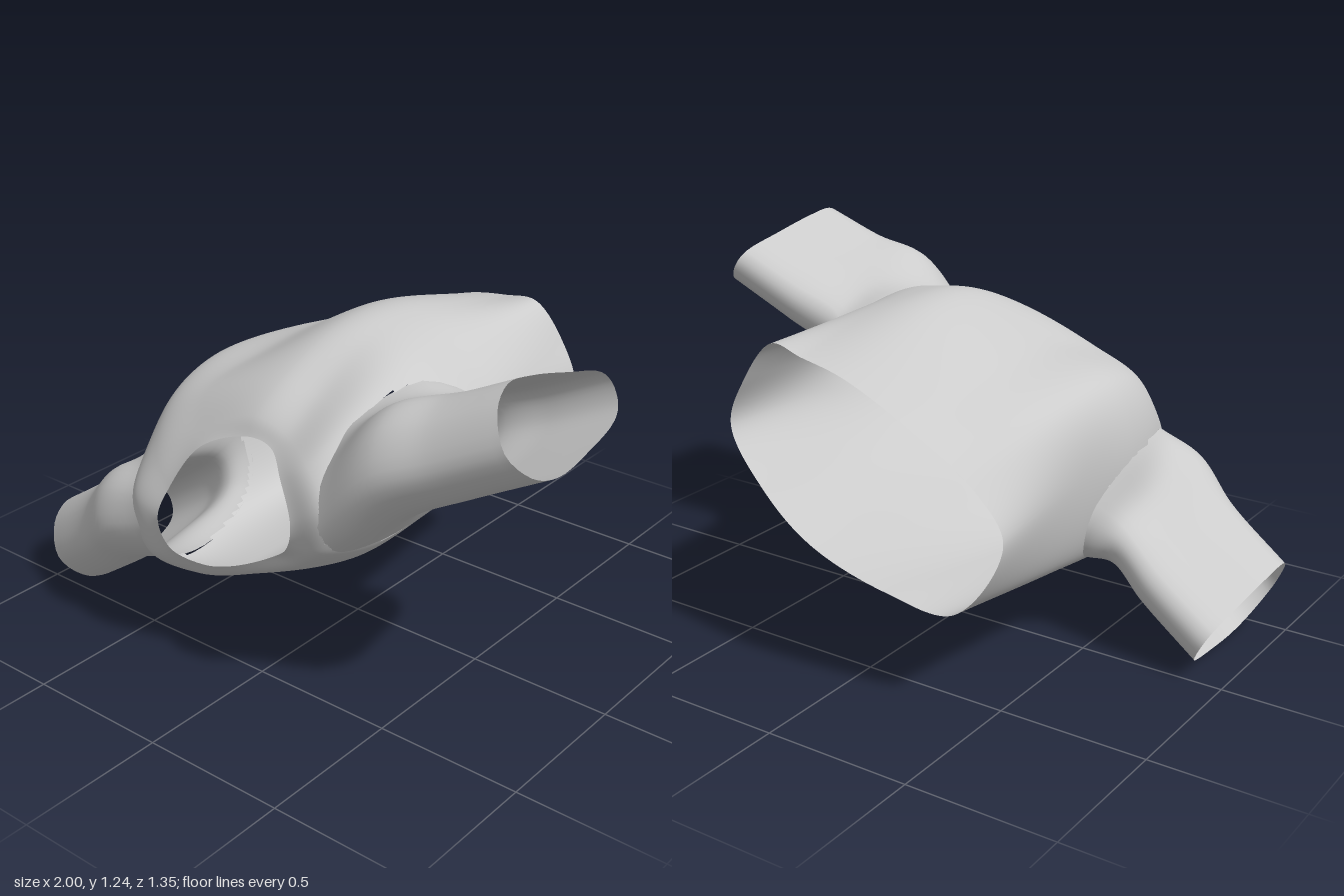
import * as THREE from 'three';

const material = new THREE.MeshStandardMaterial({ color: 0xcccccc, side: THREE.DoubleSide });

const toPoints = (n) => Array.from({ length: n.length / 3 }, (_, i) => new THREE.Vector3(n[3 * i], n[3 * i + 1], n[3 * i + 2]));

// Smooth closed ring at v (0..1) through cross-sections with matching points
function skinRing(sections) {
  const rails = sections[0].map((_, k) => new THREE.CatmullRomCurve3(sections.map((s) => s[k]), false, 'centripetal'));
  return (v) => new THREE.CatmullRomCurve3(rails.map((r) => r.getPoint(v)), true, 'centripetal');
}

// Open-ended skin; isHole(u, v) leaves faces out
function skin(name, sections, around, along, isHole = () => false) {
  const ringAt = skinRing(sections);
  const positions = [], index = [];
  for (let i = 0; i <= along; i++) {
    const ring = ringAt(i / along);
    for (let j = 0; j < around; j++) positions.push(...ring.getPoint(j / around).toArray());
  }
  for (let i = 0; i < along; i++) {
    for (let j = 0; j < around; j++) {
      if (isHole((j + 0.5) / around, (i + 0.5) / along)) continue;
      const a = i * around + j, b = i * around + (j + 1) % around;
      index.push(a, b, a + around, b, b + around, a + around);
    }
  }
  const geometry = new THREE.BufferGeometry();
  geometry.setAttribute('position', new THREE.Float32BufferAttribute(positions, 3));
  geometry.setIndex(index);
  geometry.computeVertexNormals();
  const mesh = new THREE.Mesh(geometry, material);
  mesh.name = name;
  return mesh;
}

// Body cross-sections, each running from -x over the top to +x and back underneath
const neckline = [
  -0.27, 0.55, 0.67, -0.25, 0.65, 0.63, -0.17, 0.79, 0.57, 0, 0.865, 0.535,
  0.1, 0.86, 0.54, 0.2, 0.81, 0.61, 0.27, 0.71, 0.65, 0.25, 0.62, 0.64,
  0.14, 0.52, 0.59, -0.03, 0.43, 0.6, -0.13, 0.41, 0.62, -0.23, 0.45, 0.66];
const yoke = [
  -0.42, 0.57, 0.63, -0.34, 0.7, 0.59, -0.22, 0.82, 0.53, 0, 0.92, 0.5,
  0.14, 0.9, 0.51, 0.29, 0.87, 0.59, 0.39, 0.78, 0.63, 0.36, 0.63, 0.61,
  0.24, 0.52, 0.58, 0.02, 0.4, 0.55, -0.2, 0.33, 0.57, -0.36, 0.38, 0.63];
const chest = [
  -0.53, 0.6, 0.42, -0.46, 0.8, 0.42, -0.28, 0.9, 0.41, 0.01, 1.01, 0.38,
  0.15, 0.99, 0.38, 0.33, 0.98, 0.42, 0.47, 0.85, 0.42, 0.44, 0.64, 0.42,
  0.34, 0.52, 0.42, 0.02, 0.365, 0.4, -0.2, 0.27, 0.4, -0.43, 0.28, 0.42];
const waist = [
  -0.57, 0.61, 0.18, -0.5, 0.87, 0.18, -0.25, 0.965, 0.18, 0.02, 1.105, 0.15,
  0.16, 1.1, 0.15, 0.34, 1.05, 0.18, 0.53, 0.88, 0.16, 0.48, 0.68, 0.18,
  0.35, 0.53, 0.18, 0.03, 0.36, 0.18, -0.2, 0.262, 0.18, -0.46, 0.28, 0.18];
const hips = [
  -0.54, 0.62, -0.12, -0.49, 0.85, -0.17, -0.27, 0.965, -0.17, 0.02, 1.115, -0.12,
  0.17, 1.11, -0.12, 0.32, 1.05, -0.12, 0.47, 0.89, -0.12, 0.48, 0.73, -0.12,
  0.34, 0.55, -0.12, 0.05, 0.385, -0.12, -0.2, 0.29, -0.12, -0.44, 0.3, -0.12];
const hem = [
  -0.54, 0.58, -0.56, -0.45, 0.74, -0.58, -0.25, 0.89, -0.61, 0, 1.0, -0.6,
  0.17, 1.035, -0.59, 0.31, 1.05, -0.57, 0.4, 0.92, -0.6, 0.45, 0.77, -0.61,
  0.28, 0.6, -0.66, 0.08, 0.47, -0.68, -0.18, 0.37, -0.65, -0.4, 0.34, -0.61];
const bodySections = [neckline, yoke, chest, waist, hips, hem].map(toPoints);

// Armholes: ellipses on the body, in section-point and section steps
const leftArmhole = { u: 6.2, ru: 1.2, v: 2.25, rv: 1.5, up: -1 };
const rightArmhole = { u: 11.5, ru: 0.7, v: 2.25, rv: 1.5, up: 1 };

const insideArmhole = (u, v) => [leftArmhole, rightArmhole].some((h) => {
  let du = u * 12 - h.u;
  if (du < -6) du += 12;
  return Math.hypot(du / h.ru, (v * 5 - h.v) / h.rv) < 0.96;
});

// Sleeve profile: depth from back (0) to front (1), height from bottom (-1) to top (1)
const sleeveProfile = [
  [0, 0], [0.05, 0.3], [0.3, 0.62], [0.6, 0.93], [0.78, 1], [0.93, 0.65],
  [1, -0.1], [0.88, -0.75], [0.7, -1], [0.4, -0.9], [0.1, -0.65], [0.02, -0.4]];

// Ring on the body surface where a sleeve starts
const armholeSection = (hole) => {
  const ringAt = skinRing(bodySections);
  return sleeveProfile.map(([d, h]) => {
    const angle = Math.atan2(h, 2 * d - 1);
    const u = (hole.u + hole.up * hole.ru * Math.sin(angle) + 12) % 12;
    return ringAt((hole.v - hole.rv * Math.cos(angle)) / 5).getPoint(u / 12);
  });
};

// Station: top x, top y, bottom x, bottom y, back z, front z
const sleeveSection = ([tx, ty, bx, by, back, front]) => sleeveProfile.map(([d, h]) => new THREE.Vector3(
  THREE.MathUtils.lerp(bx, tx, (h + 1) / 2),
  THREE.MathUtils.lerp(by, ty, (h + 1) / 2),
  THREE.MathUtils.lerp(back, front, d)));

const leftSleeve = [
  [0.51, 1.095, 0.58, 0.755, 0.01, 0.635],
  [0.67, 1.15, 0.77, 0.86, 0, 0.585],
  [0.855, 1.235, 1.0, 0.98, -0.02, 0.54]];
const rightSleeve = [
  [-1.0, 0.27, -0.86, 0, -0.01, 0.55],
  [-0.78, 0.42, -0.66, 0.14, 0.01, 0.59],
  [-0.63, 0.55, -0.54, 0.23, 0.03, 0.645]];

export function createModel() {
  const model = new THREE.Group();
  model.name = 'shirt';
  model.add(
    skin('body', bodySections, 192, 140, insideArmhole),
    skin('leftSleeve', [armholeSection(leftArmhole), ...leftSleeve.map(sleeveSection)], 48, 24),
    skin('rightSleeve', [...rightSleeve.map(sleeveSection), armholeSection(rightArmhole)], 48, 24));
  return model;
}
